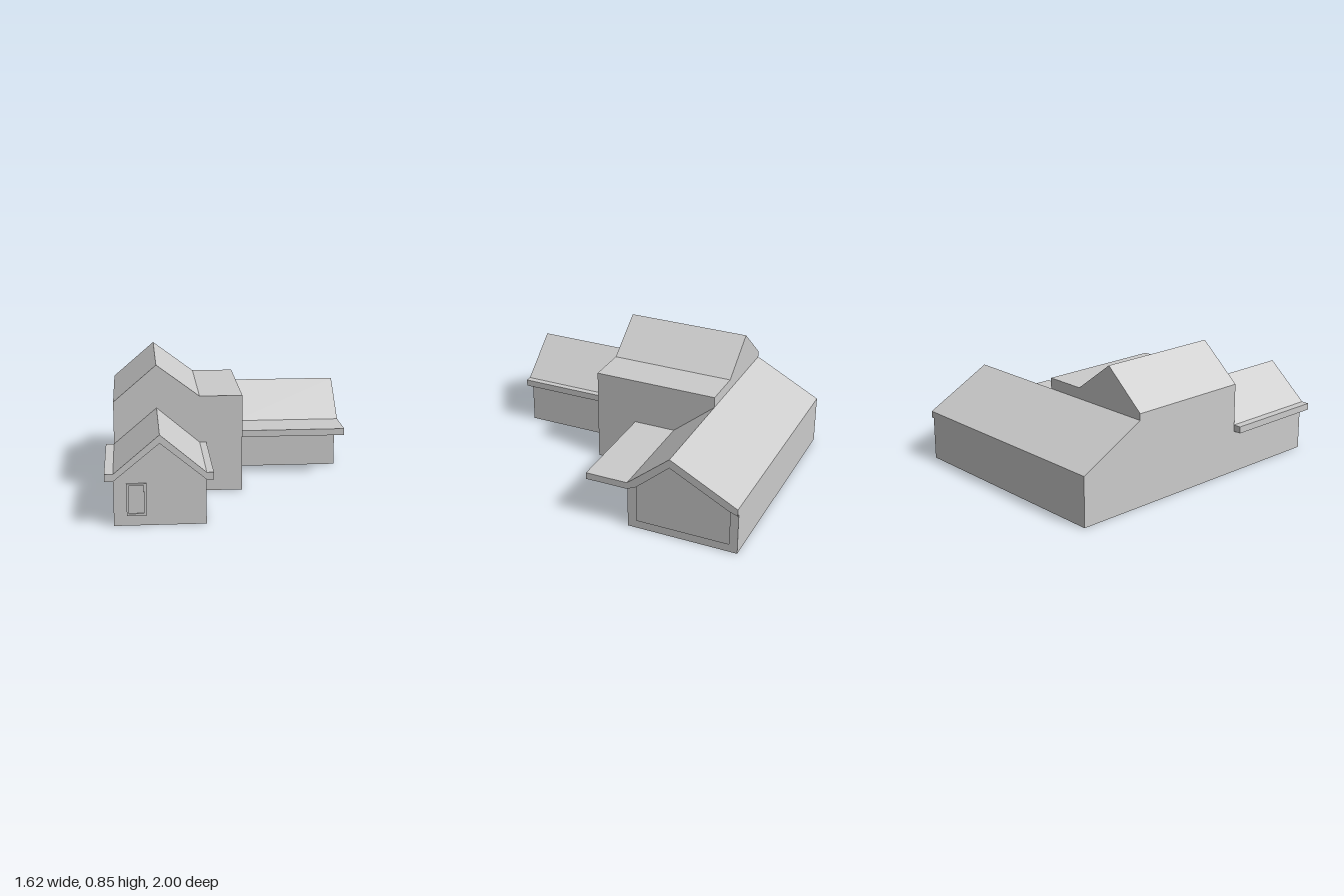
import * as THREE from 'three';

const material = new THREE.MeshStandardMaterial({ color: 0xcccccc, flatShading: true });

function outline(points, Type = THREE.Shape) {
  return new Type(points.map(([x, y]) => new THREE.Vector2(x, y)));
}

function extrude(points, depth, hole) {
  const shape = outline(points);
  if (hole) shape.holes.push(outline(hole, THREE.Path));
  return new THREE.ExtrudeGeometry(shape, { depth, bevelEnabled: false });
}

// Profile of [x, y] points swept along z
function sweepZ(name, points, z0, z1, hole) {
  const mesh = new THREE.Mesh(extrude(points, z1 - z0, hole).translate(0, 0, z0), material);
  mesh.name = name;
  return mesh;
}

// Profile of [z, y] points swept along x
function sweepX(name, points, x0, x1, hole) {
  const flip = (list) => list && list.map(([z, y]) => [-z, y]);
  const geometry = extrude(flip(points), x1 - x0, flip(hole));
  geometry.rotateY(Math.PI / 2).translate(x0, 0, 0);
  const mesh = new THREE.Mesh(geometry, material);
  mesh.name = name;
  return mesh;
}

const rect = (a, b, c, d) => [[a, b], [c, b], [c, d], [a, d]];

// Tall central block with a gable and a flat shoulder
function mainBlock() {
  return sweepZ('mainBlock',
    [[-0.76, 0], [0.08, 0], [0.08, 0.64], [-0.2, 0.64], [-0.48, 0.85], [-0.76, 0.61]], -0.55, 0.3);
}

// Low wing at the front with a winged gable roof and a window
function frontWing() {
  const group = new THREE.Group();
  group.name = 'frontWing';
  const underside = [[-0.76, 0.285], [-0.48, 0.515], [-0.2, 0.285]];
  group.add(
    sweepZ('frontWalls', [[-0.2, 0], [-0.76, 0], ...underside], 0.3, 0.977),
    sweepZ('frontRoof', [
      [-0.813, 0.285], ...underside, [-0.157, 0.285], [-0.157, 0.33],
      [-0.2, 0.33], [-0.48, 0.567], [-0.76, 0.33], [-0.813, 0.33],
    ], 0.3, 1),
    sweepZ('windowFrame', rect(-0.682, 0.065, -0.56, 0.265), 0.97, 0.99,
      rect(-0.668, 0.078, -0.578, 0.253)),
    sweepZ('windowPane', rect(-0.668, 0.078, -0.578, 0.253), 0.97, 0.981),
  );
  return group;
}

// Long wing across the back with a deep eave and a recessed gable end
function backWing() {
  const group = new THREE.Group();
  group.name = 'backWing';
  const frontSoffit = [[-0.26, 0.285], [-0.32, 0.308], [-0.55, 0.508]];
  const backSoffit = [[-0.55, 0.508], [-0.945, 0.303], [-1, 0.285]];
  const walls = [[-1, 0], [-0.26, 0], ...frontSoffit, ...backSoffit.slice(1)];
  const recess = [[-0.945, 0.055], [-0.32, 0.055], [-0.32, 0.304], [-0.55, 0.504], [-0.945, 0.299]];
  group.add(
    sweepX('backWalls', [[-1, 0], [-0.55, 0], ...backSoffit], -0.76, 0.08),
    sweepX('sideWalls', walls, 0.08, 0.768),
    sweepX('gableFrame', walls, 0.768, 0.79, recess),
    sweepX('backRoof', [...backSoffit, [-1, 0.33], [-0.55, 0.567]], -0.76, 0.81),
    sweepX('eaveRoof', [
      [0.02, 0.285], ...frontSoffit, [-0.55, 0.567], [-0.265, 0.33], [0.02, 0.33],
    ], 0.08, 0.81),
  );
  return group;
}

export function createModel() {
  const house = new THREE.Group();
  house.name = 'house';
  house.add(mainBlock(), frontWing(), backWing());
  return house;
}
